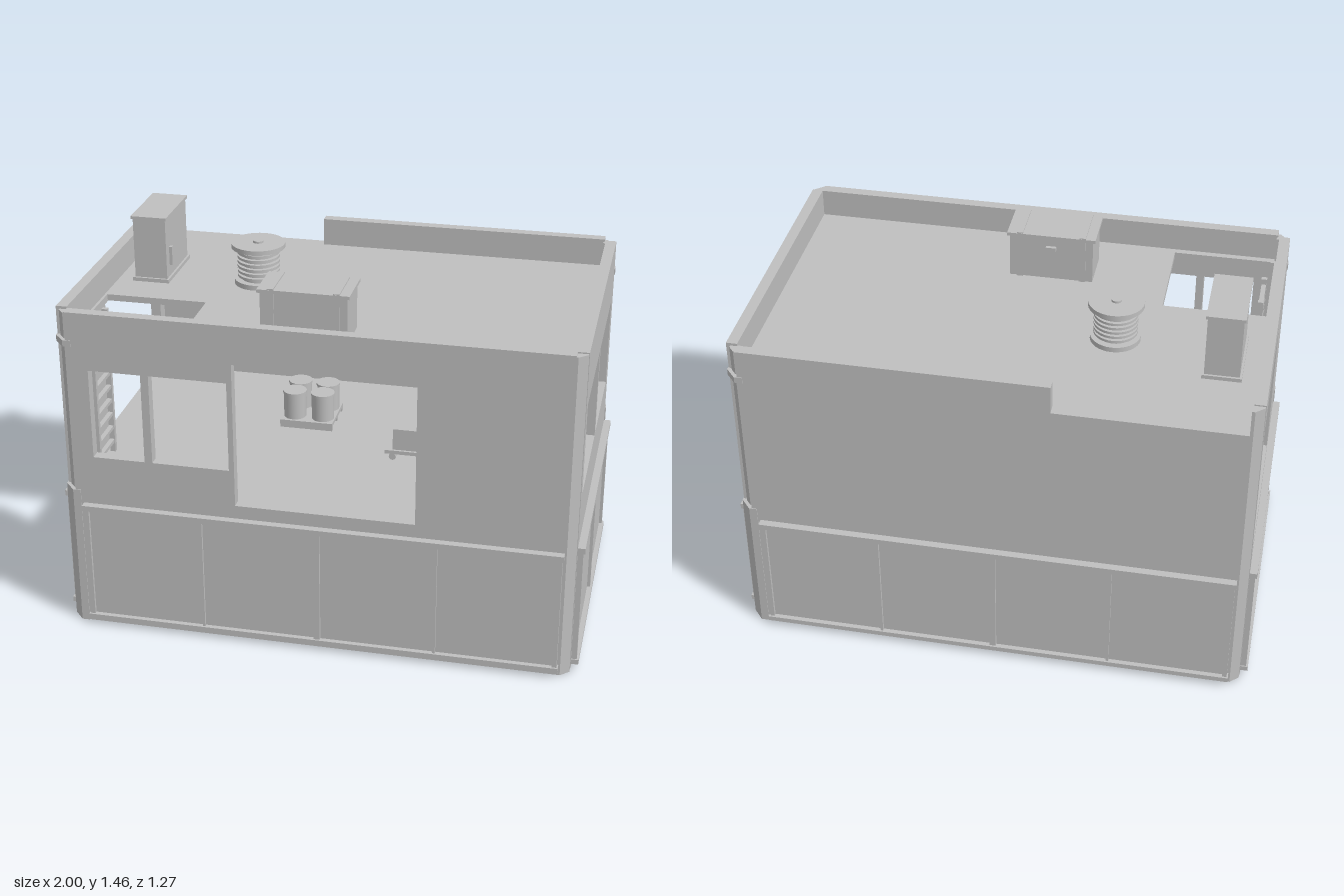
import * as THREE from 'three';

const grey = new THREE.MeshStandardMaterial({ color: 0xbfbfbf });

function add(parent, name, geo, x = 0, y = 0, z = 0) {
  const m = new THREE.Mesh(geo, grey);
  m.name = name;
  m.position.set(x, y, z);
  parent.add(m);
  return m;
}

// Box given by its limits on each axis
function box(parent, name, x0, x1, y0, y1, z0, z1) {
  return add(parent, name, new THREE.BoxGeometry(x1 - x0, y1 - y0, z1 - z0),
    (x0 + x1) / 2, (y0 + y1) / 2, (z0 + z1) / 2);
}

function cyl(parent, name, r, y0, y1, x, z, sides = 32) {
  return add(parent, name, new THREE.CylinderGeometry(r, r, y1 - y0, sides), x, (y0 + y1) / 2, z);
}

function group(parent, name) {
  const g = new THREE.Group();
  g.name = name;
  parent.add(g);
  return g;
}

// Flat plate from an outline, with rectangular holes [x0, x1, y0, y1]
function plate(points, holes, depth) {
  const s = new THREE.Shape(points.map(p => new THREE.Vector2(...p)));
  for (const [a, b, c, d] of holes) {
    s.holes.push(new THREE.Path([[a, c], [a, d], [b, d], [b, c]].map(p => new THREE.Vector2(...p))));
  }
  return new THREE.ExtrudeGeometry(s, { depth, bevelEnabled: false });
}

const rect = (a, b, c, d) => [[a, c], [b, c], [b, d], [a, d]];

// Upright prism from a plan outline in x, z
function prism(parent, name, plan, y0, y1, holes = []) {
  const flip = holes.map(([a, b, c, d]) => [a, b, -d, -c]);
  const g = plate(plan.map(([x, z]) => [x, -z]), flip, y1 - y0);
  g.rotateX(-Math.PI / 2);
  return add(parent, name, g, 0, y0, 0);
}

// Framed cladding along a wall, built facing +z
function cladding(parent, name, a, b, face, posts, angle) {
  const g = group(parent, name);
  box(g, 'panel', a + 0.01, b - 0.01, 0.03, 0.515, face - 0.02, face + 0.01);
  box(g, 'topRail', a, b, 0.5, 0.522, face - 0.01, face + 0.029);
  box(g, 'bottomRail', a, b, 0.025, 0.045, face - 0.01, face + 0.029);
  for (const [p, w] of [[a + 0.014, 0.018], [b - 0.014, 0.018], ...posts]) {
    box(g, 'panelPost', p - w / 2, p + w / 2, 0.045, 0.5, face, face + 0.022);
  }
  g.rotation.y = angle;
}

function walls(root) {
  const g = group(root, 'walls');
  const T = 0.042;
  add(g, 'frontWall', plate(rect(-0.925, 0.93, 0.01, 1.3), [
    [-0.845, -0.645, 0.72, 1.075], [-0.615, -0.32, 0.72, 1.075], [-0.3, 0.38, 0.575, 1.15],
  ], T), 0, 0, 0.607 - T);
  add(g, 'backWall', plate([[-0.93, 0.01], [0.925, 0.01], [0.925, 1.3], [-0.225, 1.3], [-0.225, 1.19], [-0.93, 1.19]],
    [], T), 0, 0, -0.607);
  const right = add(g, 'rightEndWall', plate(rect(-0.57, 0.555, 0.01, 1.3),
    [[-0.51, -0.027, 0.72, 1.075], [0, 0.475, 0.72, 1.075]], T), 0.972 - T, 0, 0);
  const left = add(g, 'leftEndWall', plate(rect(-0.555, 0.57, 0.01, 1.3),
    [[-0.155, 0.51, 0.575, 1.15]], T), -0.972, 0, 0);
  right.rotation.y = left.rotation.y = Math.PI / 2;

  // Base, floor and roof with its hatch
  prism(g, 'base', [[-0.97, 0.565], [-0.925, 0.607], [0.93, 0.607], [0.97, 0.57],
    [0.97, -0.565], [0.925, -0.607], [-0.93, -0.607], [-0.97, -0.57]], 0, 0.02);
  box(g, 'floor', -0.935, 0.935, 0.555, 0.575, -0.57, 0.57);
  prism(g, 'roof', [[-0.935, 0.57], [0.935, 0.57], [0.935, -0.57], [-0.935, -0.57]], 1.165, 1.19,
    [[-0.92, -0.525, 0.15, 0.54]]);
}

// Corner posts: each kind appears on two opposite corners
function corners(root) {
  for (const s of [1, -1]) {
    const g = group(root, 'cornerPosts');
    prism(g, 'plainPost', [[0.93, 0.57], [0.925, 0.607], [0.937, 0.607], [0.97, 0.577], [0.97, 0.565]], 0, 1.295);
    const wide = [[0.905, -0.535], [0.975, -0.535], [0.975, -0.565], [0.935, -0.61], [0.905, -0.61]];
    prism(g, 'pilaster', wide, 0, 0.575);
    prism(g, 'pipeCollar', wide, 1.165, 1.19);
    prism(g, 'cornerPipe', [[0.92, -0.55], [0.957, -0.55], [0.957, -0.565], [0.935, -0.59], [0.92, -0.59]], 0.57, 1.29);
    g.rotation.y = s > 0 ? 0 : Math.PI;
  }
}

function roofEquipment(root) {
  const a = group(root, 'tallCabinet');
  box(a, 'cabinetFoot', -0.868, -0.722, 1.19, 1.205, -0.297, -0.008);
  box(a, 'cabinetBody', -0.86, -0.73, 1.2, 1.447, -0.288, -0.017);
  box(a, 'cabinetLid', -0.866, -0.724, 1.445, 1.457, -0.295, -0.01);
  box(a, 'cabinetHandle', -0.735, -0.718, 1.25, 1.325, -0.07, -0.055);

  const v = group(root, 'roundVent');
  cyl(v, 'ventBase', 0.095, 1.19, 1.21, -0.38, -0.1);
  cyl(v, 'ventCore', 0.068, 1.2, 1.345, -0.38, -0.1);
  for (let i = 0; i < 6; i++) {
    cyl(v, 'ventLouvre', 0.083, 1.222 + i * 0.019, 1.232 + i * 0.019, -0.38, -0.1);
  }
  cyl(v, 'ventCap', 0.105, 1.338, 1.356, -0.38, -0.1);
  cyl(v, 'ventKnob', 0.02, 1.35, 1.364, -0.38, -0.1, 20);

  const c = group(root, 'roofChest');
  box(c, 'chestBody', -0.235, 0.09, 1.19, 1.372, 0.262, 0.433);
  box(c, 'chestLid', -0.245, 0.1, 1.368, 1.381, 0.255, 0.44);
  for (const x of [-0.195, 0.05]) box(c, 'chestStrap', x - 0.012, x + 0.012, 1.19, 1.386, 0.256, 0.439);
  box(c, 'chestLatch', -0.092, -0.052, 1.318, 1.334, 0.248, 0.265);
}

function interior(root) {
  // Ladder under the hatch
  const l = group(root, 'ladder');
  for (const z of [0.265, 0.432]) box(l, 'ladderRail', -0.902, -0.88, 0.575, 1.18, z - 0.009, z + 0.009);
  for (let y = 0.623; y < 1.17; y += 0.0585) box(l, 'ladderRung', -0.9, -0.882, y - 0.007, y + 0.007, 0.265, 0.432);

  // Shelf rack with boxes
  const r = group(root, 'storageRack');
  for (const x of [0.63, 0.77]) for (const z of [0.03, -0.28]) {
    box(r, 'rackPost', x - 0.008, x + 0.008, 0.575, 0.85, z - 0.009, z + 0.009);
  }
  for (const y of [0.6, 0.685, 0.77]) {
    box(r, 'rackShelf', 0.625, 0.775, y, y + 0.012, -0.285, 0.035);
    for (const z of [-0.03, -0.122, -0.212]) box(r, 'storedBox', 0.64, 0.762, y + 0.012, y + 0.066, z - 0.035, z + 0.035);
  }

  // Pallet of barrels
  const p = group(root, 'barrelPallet');
  box(p, 'palletTop', -0.3, -0.085, 0.592, 0.607, -0.29, -0.08);
  for (const z of [-0.28, -0.185, -0.09]) box(p, 'palletRunner', -0.3, -0.085, 0.575, 0.592, z - 0.01, z + 0.01);
  for (const x of [-0.25, -0.135]) for (const z of [-0.235, -0.135]) {
    cyl(p, 'barrel', 0.045, 0.607, 0.715, x, z, 24);
    cyl(p, 'barrelRim', 0.048, 0.71, 0.72, x, z, 24);
  }

  // Hand trolley
  const t = group(root, 'trolley');
  box(t, 'trolleyDeck', 0.17, 0.378, 0.602, 0.617, 0.025, 0.118);
  box(t, 'trolleyCrate', 0.2, 0.355, 0.617, 0.705, 0.035, 0.108);
  box(t, 'trolleyHandle', 0.364, 0.372, 0.615, 0.75, 0.035, 0.108);
  for (const x of [0.2, 0.35]) for (const z of [0.035, 0.108]) {
    cyl(t, 'trolleyWheel', 0.014, 0.582, 0.596, x, z, 16).rotation.x = Math.PI / 2;
  }
}

export function createModel() {
  const root = new THREE.Group();
  root.name = 'watchRoom';
  walls(root);
  corners(root);
  const longPosts = [[-0.4325, 0.01], [0.0125, 0.024], [0.4625, 0.01]];
  cladding(root, 'frontCladding', -0.895, 0.93, 0.607, longPosts, 0);
  cladding(root, 'backCladding', -0.895, 0.93, 0.607, longPosts, Math.PI);
  cladding(root, 'rightCladding', -0.56, 0.53, 0.971, [[-0.018, 0.01]], Math.PI / 2);
  cladding(root, 'leftCladding', -0.56, 0.53, 0.971, [[-0.018, 0.01]], -Math.PI / 2);
  roofEquipment(root);
  interior(root);
  return root;
}
